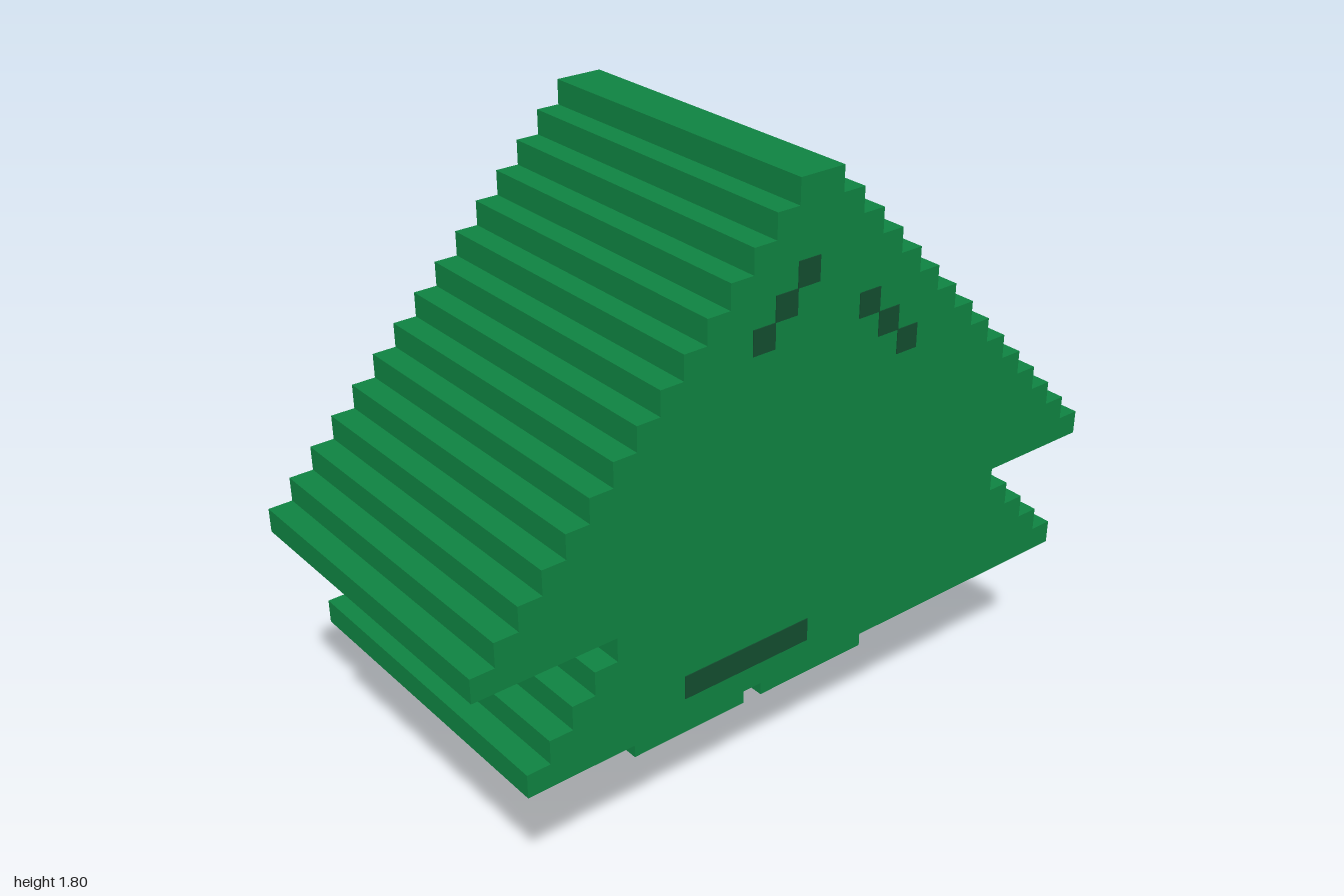
import * as THREE from 'three';

const U = 1 / 15; // edge length of one block

const material = (name, color) => {
  const m = new THREE.MeshStandardMaterial({ color });
  m.name = name;
  return m;
};

export function createModel() {
  const model = new THREE.Group();
  const green = material('leaf green', 0x0f8241);
  const darkGreen = material('dark green', 0x124c2e);
  const white = material('pane white', 0xcacaca);
  const black = material('pane black', 0x0d0d0d);

  const add = (parent, name, geometry, mat) => {
    const mesh = new THREE.Mesh(geometry, mat);
    mesh.name = name;
    parent.add(mesh);
    return mesh;
  };

  // Box given by its limits, in blocks
  const block = (parent, name, mat, x0, x1, y0, y1, z0, z1) => {
    const g = new THREE.BoxGeometry((x1 - x0) * U, (y1 - y0) * U, (z1 - z0) * U);
    g.translate((x0 + x1) / 2 * U, (y0 + y1) / 2 * U, (z0 + z1) / 2 * U);
    return add(parent, name, g, mat);
  };

  // Shape extruded between two depths, in blocks
  const extrude = (shape, z0, z1) => {
    const g = new THREE.ExtrudeGeometry(shape, { depth: z1 - z0, bevelEnabled: false });
    return g.translate(0, 0, z0).scale(U, U, U);
  };

  // Stepped tree outline: rows listed from the bottom up as [left, right]
  const rows = [];
  for (let i = 0; i < 5; i++) rows.push([-13 + i, 14 - i]);
  for (let i = 0; i < 15; i++) rows.push([-15 + i, 15 - i]);
  const right = [], left = [];
  rows.forEach(([l, r], i) => {
    const y = 7 + i;
    right.push(new THREE.Vector2(r, y), new THREE.Vector2(r, y + 1));
    left.push(new THREE.Vector2(l, y), new THREE.Vector2(l, y + 1));
  });
  const outline = new THREE.Shape([...right, ...left.reverse()]);
  add(model, 'treeBody', extrude(outline, -7, 7), green);

  // Lowest tier, stepping back towards the rear
  const lowerTier = new THREE.Group();
  lowerTier.name = 'lowerTier';
  model.add(lowerTier);
  for (let i = 0; i < 4; i++) {
    block(lowerTier, 'lowerStep', green, -7 - i, 8 + i, 6 - i, 7 - i, -7, -3 - i);
  }

  // Brow and mouth marks on the front
  const marks = new THREE.Group();
  marks.name = 'faceMarks';
  model.add(marks);
  const mark = (name, x0, x1, y) =>
    block(marks, name, darkGreen, x0, x1, y, y + 1, 6.96, 7.04);
  for (let i = 0; i < 3; i++) {
    mark('rightBrow', -3 + i, -2 + i, 21 + i);
    mark('leftBrow', 2 + i, 3 + i, 21 - i);
  }
  mark('mouth', -6, 0, 8);

  // Glasses: two square frames with split panes, a bridge and a hooked arm
  const glasses = new THREE.Group();
  glasses.name = 'glasses';
  model.add(glasses);
  const rect = (Type, x0, x1, y0, y1) => new Type([
    new THREE.Vector2(x0, y0), new THREE.Vector2(x1, y0),
    new THREE.Vector2(x1, y1), new THREE.Vector2(x0, y1),
  ]);
  for (const x of [-3.5, 3.5]) {
    const frame = rect(THREE.Shape, x, x + 6, 0, 6);
    frame.holes.push(rect(THREE.Path, x + 1, x + 5, 1, 5));
    add(glasses, 'frame', extrude(frame, -0.5, 0.5), green);
    block(glasses, 'whitePane', white, x + 1, x + 3, 1, 5, -0.5, 0.5);
    block(glasses, 'blackPane', black, x + 3, x + 5, 1, 5, -0.5, 0.5);
  }
  block(glasses, 'bridge', green, 2.5, 3.5, 3, 4, -0.5, 0.5);
  const arm = new THREE.Shape([
    [-3.5, 3], [-3.5, 4], [-6.5, 4], [-6.5, 1], [-5.5, 1], [-5.5, 3],
  ].map(([x, y]) => new THREE.Vector2(x, y)));
  add(glasses, 'arm', extrude(arm, -0.5, 0.5), green);

  return model;
}
